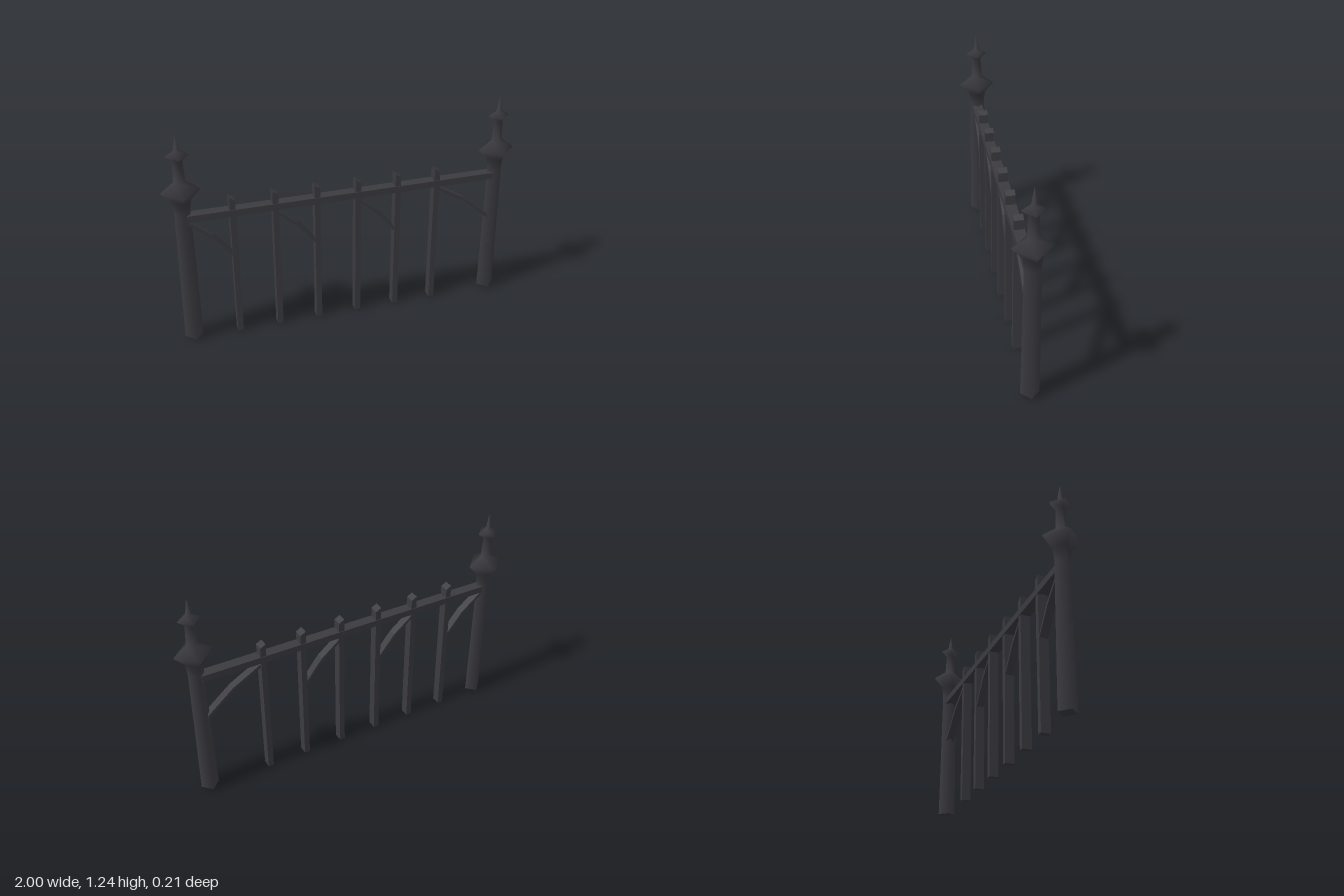
import * as THREE from 'three';

const iron = new THREE.MeshStandardMaterial({ color: 0x3b3a40 });
iron.name = 'dark iron';

function addMesh(parent, geometry, name) {
  const mesh = new THREE.Mesh(geometry, iron);
  mesh.name = name;
  parent.add(mesh);
  return mesh;
}

// Flat outline in x/y, extruded evenly about z = 0
function plate(points, depth) {
  const shape = new THREE.Shape(points.map(([x, y]) => new THREE.Vector2(x, y)));
  const geometry = new THREE.ExtrudeGeometry(shape, { depth, bevelEnabled: false });
  return geometry.translate(0, 0, -depth / 2);
}

// Four-sided turned post with softly shaded corners, a wide knob and a spike
function endPost(x) {
  const post = new THREE.Group();
  post.name = 'endPost';
  const profile = [
    [0.051, 0.01], [0.048, 0.3], [0.043, 0.79], [0.051, 0.86], [0.105, 0.917],
    [0.032, 0.972], [0.026, 1.09], [0.062, 1.118], [0.016, 1.147], [0, 1.24],
  ].map(([r, y]) => new THREE.Vector2(r, y));
  addMesh(post, new THREE.LatheGeometry(profile, 4), 'postShaft');
  const base = new THREE.CircleGeometry(0.051, 4).rotateX(Math.PI / 2).translate(0, 0.01, 0);
  addMesh(post, base, 'postBase');
  post.position.x = x;
  return post;
}

// Upright with a slanted top
function picket(x) {
  const h = 0.016;
  return plate([[x - h, 0], [x + h, 0], [x + h, 0.832], [x - h, 0.85]], 0.052);
}

// Bent strip running from under the rail down to the next upright
function brace(x0, x1) {
  const w = x1 - x0, t = 0.015;
  const mid = x0 + w * 0.52;
  return plate([
    [x0, 0.718], [mid - 0.005, 0.622], [x1, 0.484],
    [x1, 0.484 + t * 1.6], [mid + 0.005, 0.622 + t], [x0, 0.718 + t * 1.3],
  ], 0.045);
}

export function createModel() {
  const fence = new THREE.Group();
  fence.name = 'fence';

  for (const x of [-0.895, 0.895]) fence.add(endPost(x));

  // Top rail
  const rail = addMesh(fence, new THREE.BoxGeometry(1.75, 0.038, 0.06), 'topRail');
  rail.position.y = 0.759;

  // Pickets
  for (let i = 0; i < 6; i++) addMesh(fence, picket(-0.634 + i * 0.233), 'picket');

  // Curved braces in every second bay
  for (const [a, b] of [[-0.87, -0.64], [-0.4, -0.173], [0.065, 0.29], [0.535, 0.865]]) {
    addMesh(fence, brace(a, b), 'brace');
  }
  return fence;
}
